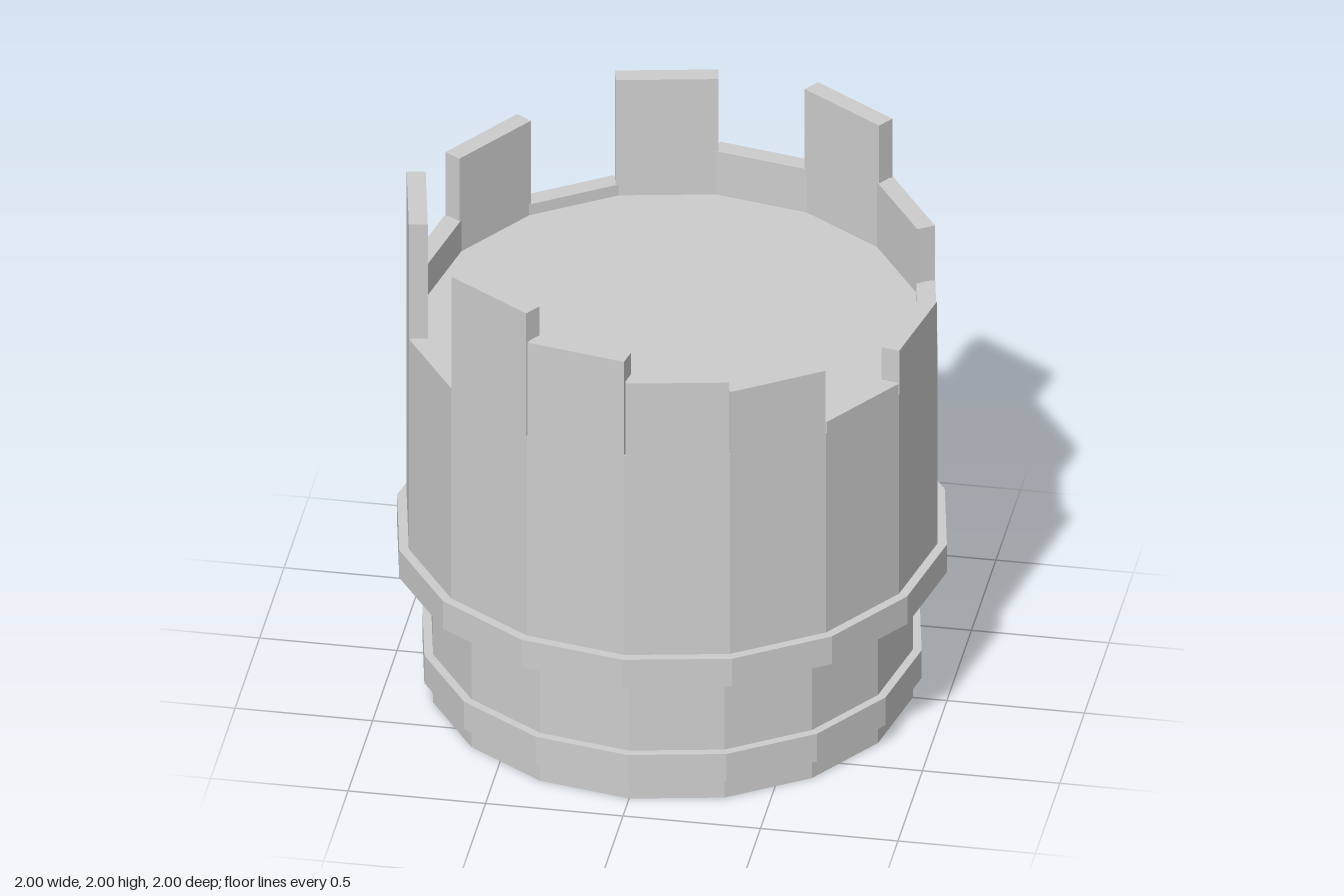
import * as THREE from 'three';

const SIDES = 16;
const STEP = (Math.PI * 2) / SIDES;

export function createModel() {
  const group = new THREE.Group();
  const stone = new THREE.MeshStandardMaterial({ color: 0xcccccc, flatShading: true });
  stone.name = 'grey stone';

  // Sixteen-sided drum standing between two heights
  function drum(name, radius, bottom, top) {
    const mesh = new THREE.Mesh(
      new THREE.CylinderGeometry(radius, radius, top - bottom, SIDES), stone);
    mesh.name = name;
    mesh.position.y = (bottom + top) / 2;
    group.add(mesh);
  }
  drum('base', 0.876, 0, 0.54);
  drum('lowerRing', 0.908, 0.085, 0.2);
  drum('upperRing', 1.0, 0.535, 0.65);
  const bodyRadius = 0.965, floor = 1.48;
  drum('towerBody', bodyRadius, 0.6, floor);

  // Broken parapet: one slab per side, counted from the front towards +x
  const tops = [1.78, 1.74, 1.525, 1.66, 1.525, 1.75, 1.99, 1.66,
    1.96, 1.525, 1.87, 1.61, 2.0, 1.525, 1.99, 1.87];
  const thickness = 0.068, width = 0.37;
  const apothem = bodyRadius * Math.cos(STEP / 2);
  const parapet = new THREE.Group();
  parapet.name = 'parapet';
  tops.forEach((top, i) => {
    const angle = (i + 0.5) * STEP;
    const r = apothem - thickness / 2;
    const slab = new THREE.Mesh(
      new THREE.BoxGeometry(width, top - floor, thickness), stone);
    slab.name = 'parapetSlab';
    slab.position.set(Math.sin(angle) * r, (top + floor) / 2, Math.cos(angle) * r);
    slab.rotation.y = angle;
    parapet.add(slab);
  });
  group.add(parapet);
  return group;
}
